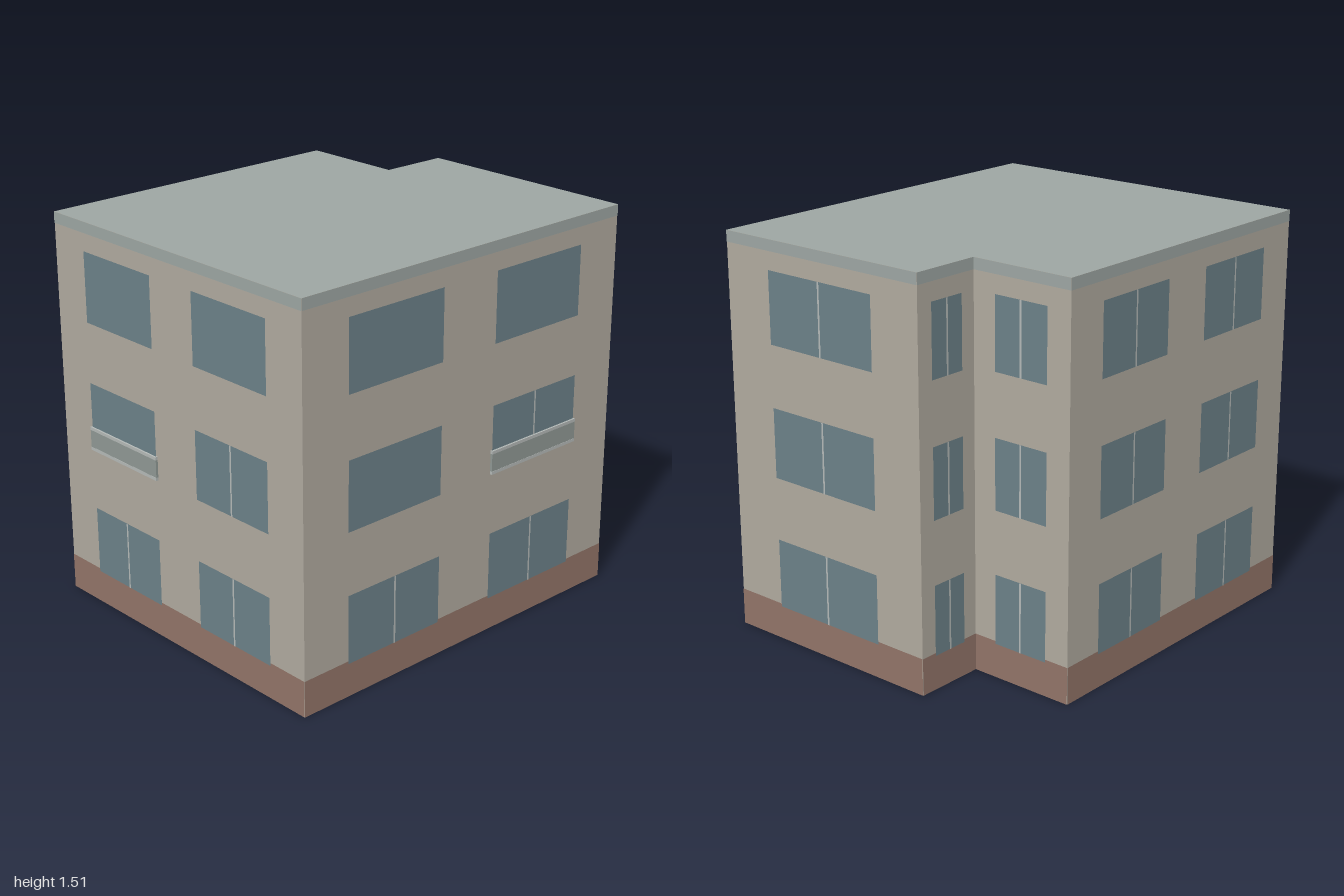
import * as THREE from 'three';

const mat = (color, side = THREE.FrontSide) => new THREE.MeshStandardMaterial({ color, side });
const wallMat = mat(0xb0aa9f, THREE.DoubleSide);
const roofMat = mat(0x9da6a3, THREE.DoubleSide);
const plinthMat = mat(0x927468);
const glassMat = mat(0x6c8188);
const frameMat = mat(0xb4b9b7);
const panelMat = mat(0x8f9894);

const HEIGHT = 1.515;
const FLOORS = [[0.13, 0.395], [0.635, 0.9], [1.135, 1.405]];

// Footprint corners (x, z), running left to right as seen from outside
const CORNERS = [[-0.39, 0.895], [0.998, 0.17], [0.58, -0.65], [0.335, -0.525], [0.145, -0.9], [-1, -0.3]];

// Window columns of each wall as fractions of its length.
// mullions: floors with a centre bar; balcony: floor with a railing
const PAIR = [[0.13, 0.415], [0.585, 0.87]];
const SINGLE = [[0.23, 0.77]];
const ALL = [0, 1, 2];
const WALLS = [
  { name: 'front', columns: PAIR, mullions: [[0], [0, 1]], balcony: [-1, 1] },
  { name: 'rightSide', columns: SINGLE, mullions: [ALL] },
  { name: 'recessBack', columns: SINGLE, mullions: [ALL] },
  { name: 'recessSide', columns: SINGLE, mullions: [ALL] },
  { name: 'back', columns: PAIR, mullions: [ALL, ALL] },
  { name: 'leftSide', columns: PAIR, mullions: [[0], [0, 1]], balcony: [1, -1] },
];

// Flat panel in wall coordinates, lying just proud of the wall
function panel(name, x0, x1, y0, y1, z, material) {
  const mesh = new THREE.Mesh(new THREE.PlaneGeometry(x1 - x0, y1 - y0), material);
  mesh.name = name;
  mesh.position.set((x0 + x1) / 2, (y0 + y1) / 2, z);
  return mesh;
}

// Thin bar or slab standing on the wall surface
function slab(name, x0, x1, y0, y1, depth, material) {
  const mesh = new THREE.Mesh(new THREE.BoxGeometry(x1 - x0, y1 - y0, depth), material);
  mesh.name = name;
  mesh.position.set((x0 + x1) / 2, (y0 + y1) / 2, depth / 2);
  return mesh;
}

function createWindow(x0, x1, [y0, y1], hasMullion) {
  const group = new THREE.Group();
  group.name = 'window';
  group.add(panel('glass', x0, x1, y0, y1, 0.003, glassMat));
  const mid = (x0 + x1) / 2;
  if (hasMullion) group.add(panel('mullion', mid - 0.004, mid + 0.004, y0, y1, 0.0045, frameMat));
  return group;
}

// Shallow railing: infill panel between two rails
function createBalcony(x0, x1, y) {
  const group = new THREE.Group();
  group.name = 'balconyRailing';
  group.add(
    slab('infill', x0, x1, y + 0.012, y + 0.08, 0.009, panelMat),
    slab('bottomRail', x0, x1, y, y + 0.012, 0.01, frameMat),
    slab('topRail', x0, x1, y + 0.08, y + 0.092, 0.01, frameMat),
  );
  return group;
}

function createWall(spec, [ax, az], [bx, bz]) {
  const length = Math.hypot(bx - ax, bz - az);
  const wall = new THREE.Group();
  wall.name = spec.name + 'Wall';
  wall.position.set(ax, 0, az);
  wall.rotation.y = Math.atan2(az - bz, bx - ax);
  wall.add(
    panel('wallSurface', 0, length, 0, HEIGHT, 0, wallMat),
    panel('plinth', 0, length, 0, 0.14, 0.0015, plinthMat),
    panel('roofEdge', 0, length, HEIGHT - 0.042, HEIGHT, 0.0015, roofMat),
  );
  spec.columns.forEach(([f0, f1], c) => {
    const x0 = f0 * length, x1 = f1 * length;
    FLOORS.forEach((span, floor) => {
      wall.add(createWindow(x0, x1, span, spec.mullions[c].includes(floor)));
      if (spec.balcony && spec.balcony[c] === floor) wall.add(createBalcony(x0 - 0.005, x1 + 0.005, span[0]));
    });
  });
  return wall;
}

export function createModel() {
  const building = new THREE.Group();
  building.name = 'apartmentBuilding';

  WALLS.forEach((spec, i) => {
    building.add(createWall(spec, CORNERS[i], CORNERS[(i + 1) % CORNERS.length]));
  });

  // Flat roof following the footprint
  const outline = new THREE.Shape(CORNERS.map(([x, z]) => new THREE.Vector2(x, -z)));
  const roof = new THREE.Mesh(new THREE.ShapeGeometry(outline), roofMat);
  roof.name = 'roof';
  roof.rotation.x = -Math.PI / 2;
  roof.position.y = HEIGHT;
  building.add(roof);

  return building;
}
